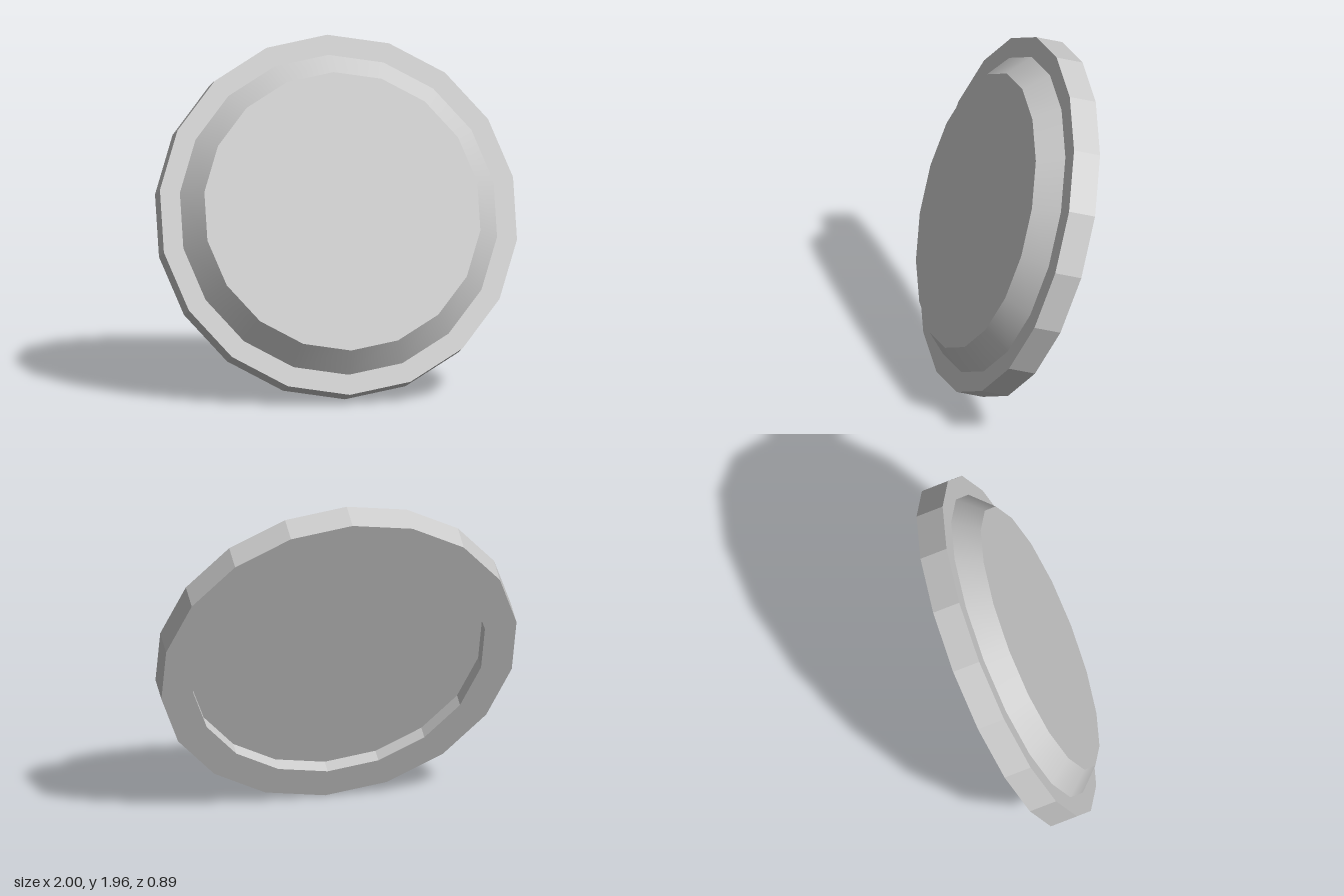
import * as THREE from 'three';

const SIDES = 18;
const RIM_DEPTH = 0.16;
const BEVEL_DEPTH = 0.127;
const OUTER = 1.0154, BEVEL_BASE = 0.902, FACE = 0.785;
const RECESS = 0.835, RECESS_DEPTH = 0.08;

export function createModel() {
  const model = new THREE.Group();
  model.name = 'tiltedDisc';

  const smooth = new THREE.MeshStandardMaterial({ color: 0xcccccc });
  const faceted = new THREE.MeshStandardMaterial({ color: 0xcccccc, flatShading: true });

  // Geometries are built along y, then turned so the disc faces +z
  const add = (name, geometry, material) => {
    const mesh = new THREE.Mesh(geometry.rotateX(Math.PI / 2), material);
    mesh.name = name;
    model.add(mesh);
  };

  // Faceted rim with a shallow recess in the back
  const profile = [
    [0, RECESS_DEPTH], [RECESS, RECESS_DEPTH], [RECESS, 0],
    [OUTER, 0], [OUTER, RIM_DEPTH], [BEVEL_BASE, RIM_DEPTH],
  ].map(([r, y]) => new THREE.Vector2(r, y));
  add('rim', new THREE.LatheGeometry(profile, SIDES), faceted);

  // Smooth bevel rising from the rim to the face
  add('bevel', new THREE.CylinderGeometry(FACE, BEVEL_BASE, BEVEL_DEPTH, SIDES, 1, true)
    .translate(0, RIM_DEPTH + BEVEL_DEPTH / 2, 0), smooth);

  // Flat front face
  add('face', new THREE.CircleGeometry(FACE, SIDES, Math.PI / 2)
    .rotateX(-Math.PI / 2).translate(0, RIM_DEPTH + BEVEL_DEPTH, 0), smooth);

  // Lean the disc back, resting on its lower edge
  const tilt = THREE.MathUtils.degToRad(20);
  model.rotation.x = -tilt;
  model.position.set(0, OUTER * Math.cos(tilt), -0.093);
  return model;
}
